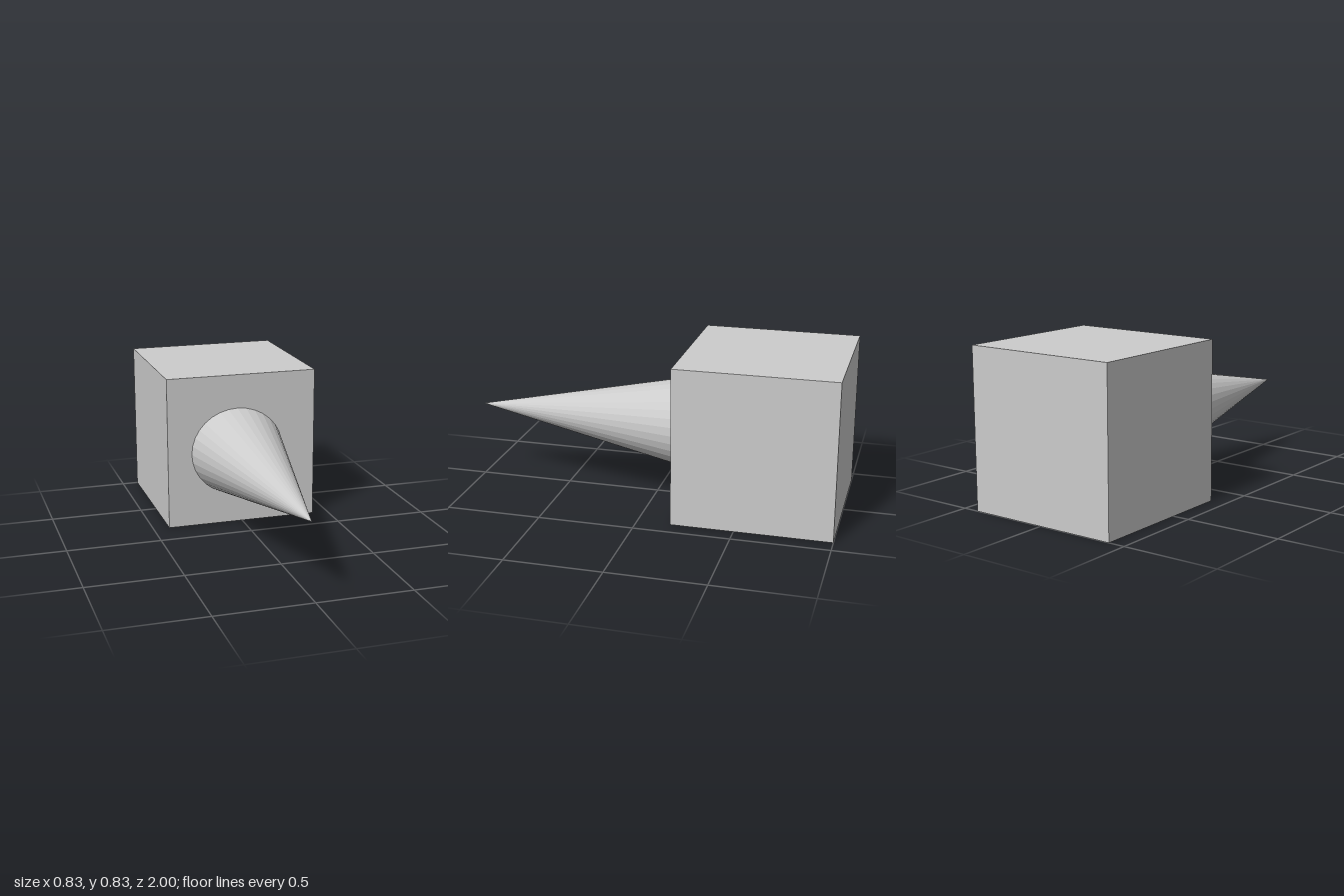
import * as THREE from 'three';

export function createModel() {
  const model = new THREE.Group();
  const material = new THREE.MeshStandardMaterial({ color: 0xcccccc, flatShading: true });

  // Cube block at the back
  const size = 0.826;
  const block = new THREE.Mesh(new THREE.BoxGeometry(size, size, size), material);
  block.name = 'block';
  block.position.set(0, size / 2, -1 + size / 2);
  model.add(block);

  // Slightly oval spike pointing forward, its base sunk a little into the block
  const faceZ = -1 + size;
  const tipZ = 1;
  const sink = 0.02;
  const length = tipZ - faceZ + sink;
  const grow = length / (tipZ - faceZ);
  const spikeGeometry = new THREE.ConeGeometry(1, length, 32)
    .rotateX(Math.PI / 2)
    .scale(0.256 * grow, 0.24 * grow, 1);
  const spike = new THREE.Mesh(spikeGeometry, material);
  spike.name = 'spike';
  spike.position.set(-0.025, 0.402, tipZ - length / 2);
  model.add(spike);

  return model;
}
